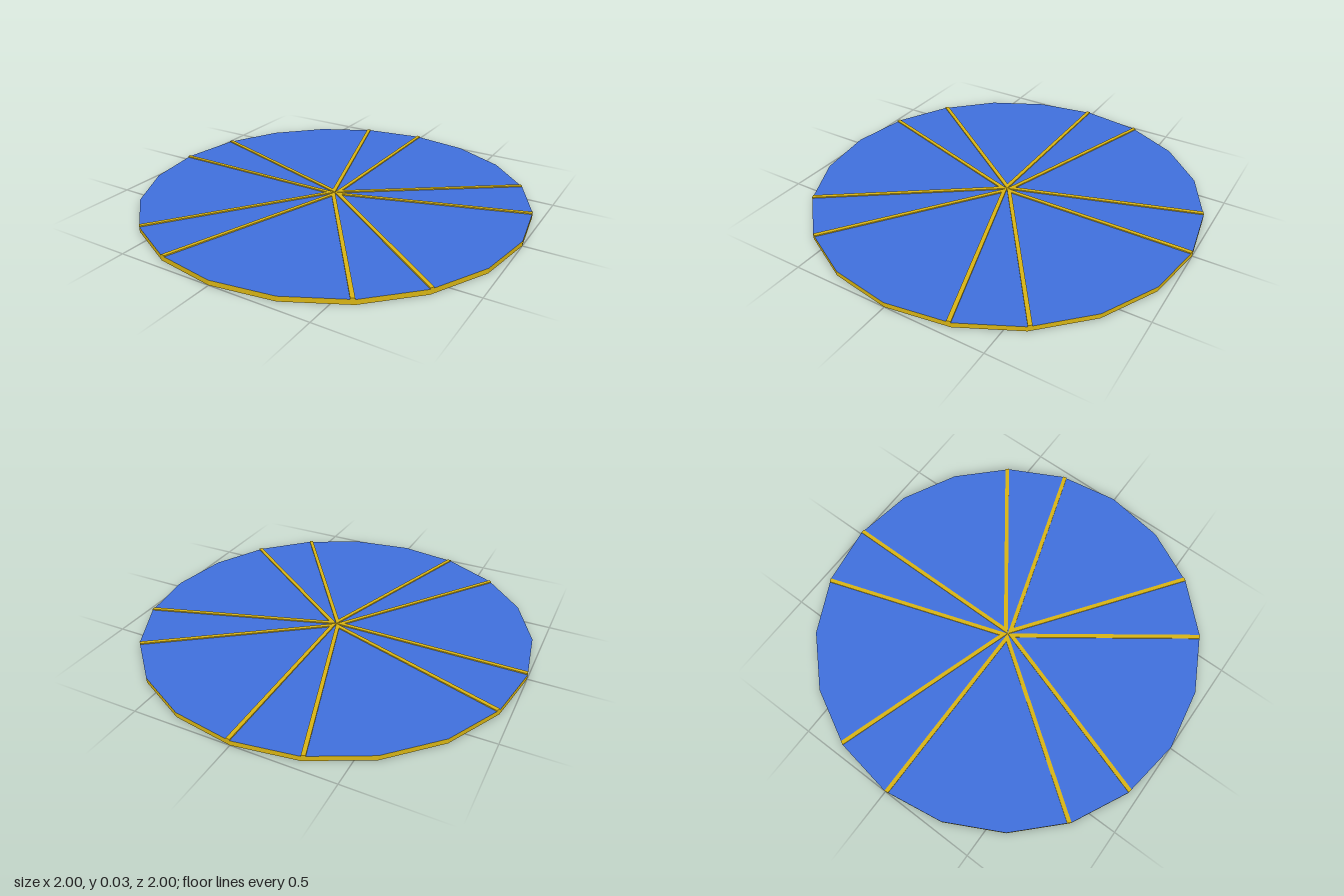
import * as THREE from 'three';

const SIDES = 20, DISC_H = 0.025, RIB_H = 0.006, RIB_W = 0.02;
const STEP = (Math.PI * 2) / SIDES;

export function createModel() {
  const group = new THREE.Group();
  const blue = new THREE.MeshStandardMaterial({ color: 0x4070dc, flatShading: true });
  const gold = new THREE.MeshStandardMaterial({ color: 0xd8b414, flatShading: true });

  const add = (name, geometry, material, y) => {
    const mesh = new THREE.Mesh(geometry, material);
    mesh.name = name;
    mesh.position.y = y;
    group.add(mesh);
    return mesh;
  };

  // Twenty-sided disc: gold rim, blue faces
  add('rim', new THREE.CylinderGeometry(1, 1, DISC_H, SIDES, 1, true), gold, DISC_H / 2);
  add('topFace', new THREE.CircleGeometry(1, SIDES).rotateX(-Math.PI / 2), blue, DISC_H);
  add('bottomFace', new THREE.CircleGeometry(1, SIDES).rotateX(Math.PI / 2), blue, 0);

  // V-shaped rib lining both straight edges of one wide sector (three rim sides)
  const half = 1.5 * STEP;
  const corner = new THREE.Vector2(Math.cos(half), Math.sin(half));
  const next = new THREE.Vector2(Math.cos(half - STEP), Math.sin(half - STEP));
  const along = RIB_W / Math.sin(STEP); // share of the rim side covered by the rib
  const inner = corner.clone().lerp(next, along);
  const shape = new THREE.Shape([
    new THREE.Vector2(0, 0),
    new THREE.Vector2(corner.x, -corner.y),
    new THREE.Vector2(inner.x, -inner.y),
    new THREE.Vector2(RIB_W / Math.sin(half), 0),
    inner,
    corner,
  ]);
  const ribGeometry = new THREE.ExtrudeGeometry(shape, { depth: RIB_H, bevelEnabled: false })
    .rotateX(-Math.PI / 2);

  // Five wide sectors, separated by narrow gaps of one rim side
  for (let i = 0; i < 5; i++) {
    const rib = add(`sectorRib${i + 1}`, ribGeometry, gold, DISC_H);
    rib.rotation.y = 3.5 * STEP + i * 4 * STEP;
  }
  return group;
}
